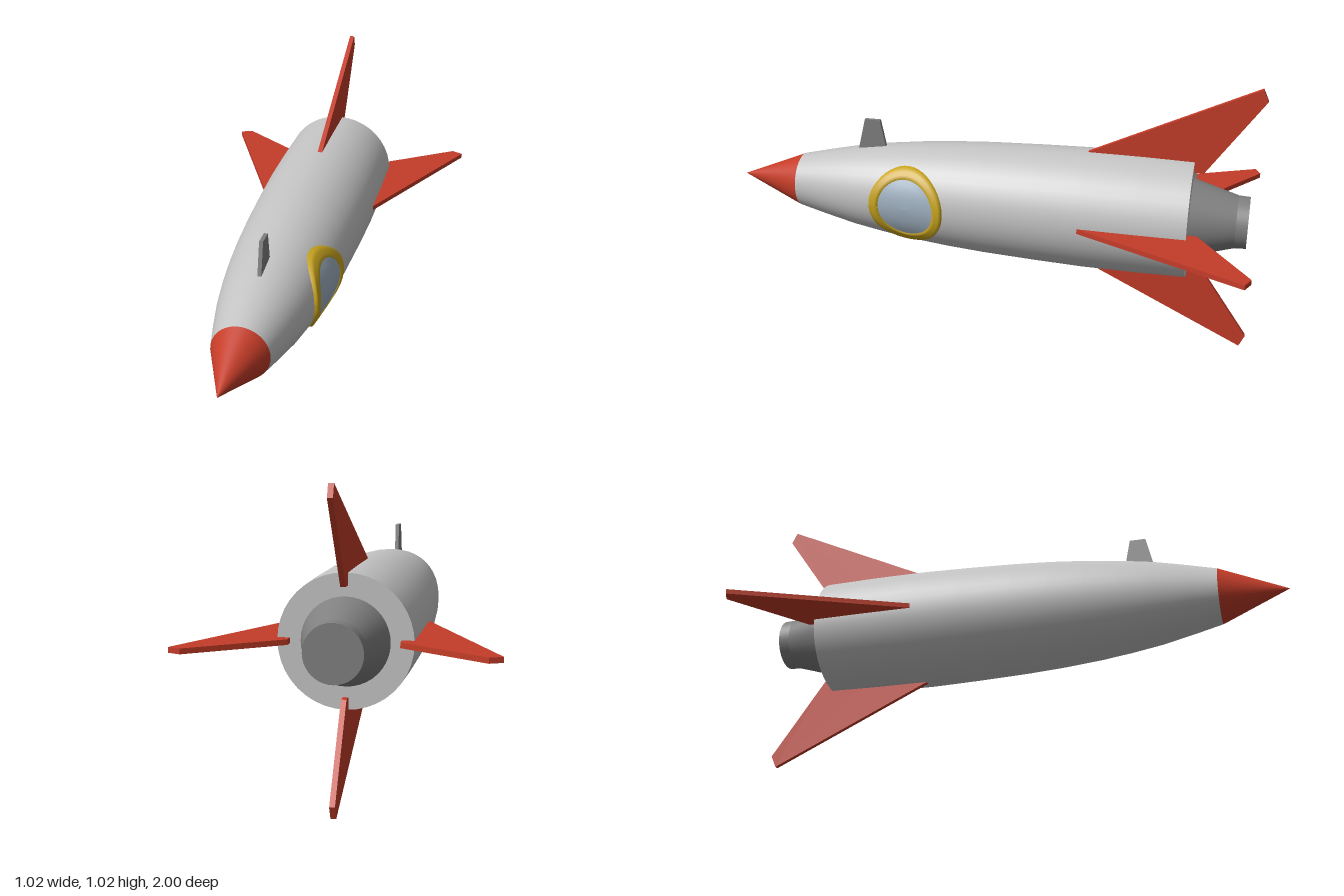
import * as THREE from 'three';

const AXIS = 0.51; // height of the hull's long axis
const mat = (name, color, side = THREE.FrontSide) => {
  const m = new THREE.MeshStandardMaterial({ color, side });
  m.name = name;
  return m;
};

// Hull profile as [z, radius], tail to nose
const HULL = [[-0.765, 0.221], [-0.58, 0.224], [-0.38, 0.224], [-0.2, 0.219], [0, 0.211],
  [0.14, 0.202], [0.27, 0.19], [0.4, 0.174], [0.52, 0.155], [0.64, 0.129], [0.75, 0.103]];

function hullRadius(z) {
  let i = 1;
  while (i < HULL.length - 1 && HULL[i][0] < z) i++;
  const [z0, r0] = HULL[i - 1], [z1, r1] = HULL[i];
  return r0 + (r1 - r0) * (z - z0) / (z1 - z0);
}

// Surface of revolution around the z axis from [z, radius] points
function revolve(points) {
  const g = new THREE.LatheGeometry(points.map(([z, r]) => new THREE.Vector2(r, z)), 40);
  return g.rotateX(Math.PI / 2);
}

// Flat plate outlined by [z, height] points, centred on x = 0
function plate(points, thickness) {
  const shape = new THREE.Shape(points.map(([z, y]) => new THREE.Vector2(z, y)));
  const g = new THREE.ExtrudeGeometry(shape, { depth: thickness, bevelEnabled: false });
  return g.translate(0, 0, -thickness / 2).rotateY(-Math.PI / 2);
}

// Round patch wrapped onto the left of the hull from [radius, lift] points
function wrapped(points) {
  const g = new THREE.LatheGeometry(points.map(([r, l]) => new THREE.Vector2(r, l)), 48);
  const p = g.attributes.position;
  for (let i = 0; i < p.count; i++) {
    const y = -p.getX(i), lift = p.getY(i), z = 0.275 + p.getZ(i);
    p.setXYZ(i, Math.sqrt((hullRadius(z) + lift) ** 2 - y * y), y, z);
  }
  g.computeVertexNormals();
  return g;
}

export function createModel() {
  const grey = mat('hull grey', 0xc4c4c4);
  const dark = mat('dark grey', 0x808080);
  const red = mat('red', 0xc43c28);
  const yellow = mat('yellow', 0xc8a41e, THREE.DoubleSide);
  const blue = mat('glass blue', 0x9fb0c0);

  const model = new THREE.Group();
  model.name = 'rocket';
  const add = (name, geometry, material) => {
    const m = new THREE.Mesh(geometry, material);
    m.name = name;
    m.position.y = AXIS;
    model.add(m);
    return m;
  };
  const disc = (r, z) => new THREE.CircleGeometry(r, 40).rotateY(Math.PI).translate(0, 0, z);

  // Hull and nose
  add('hull', revolve(HULL), grey);
  add('hullRear', disc(0.221, -0.765), grey);
  add('noseCone', revolve([[0.75, 0.103], [1, 0]]), red);

  // Engine nozzle
  add('nozzleCone', revolve([[-0.93, 0.097], [-0.765, 0.145]]), dark);
  add('nozzleRim', revolve([[-0.972, 0.095], [-0.93, 0.097]]), dark);
  add('nozzleEnd', disc(0.095, -0.972), dark);

  // Four tail fins
  const fin = plate([[-0.36, 0.215], [-0.6, 0.18], [-0.8, 0.18], [-1, 0.467], [-0.98, 0.51]], 0.018);
  for (let i = 0; i < 4; i++) add('tailFin', fin, red).rotation.z = i * Math.PI / 2;

  // Small fin on top near the nose
  add('topFin', plate([[0.4, 0.15], [0.425, 0.275], [0.485, 0.275], [0.515, 0.15]], 0.014), dark);

  // Round window with raised frame, on the left only
  const frame = [[0.147, -0.01], [0.147, 0.01], [0.135, 0.01], [0.123, 0.01], [0.11, 0.01], [0.11, 0]];
  add('windowFrame', wrapped(frame), yellow);
  const glass = [0.112, 0.09, 0.07, 0.05, 0.025, 0].map(r => [r, 0.006]);
  add('windowGlass', wrapped(glass), blue);

  return model;
}
